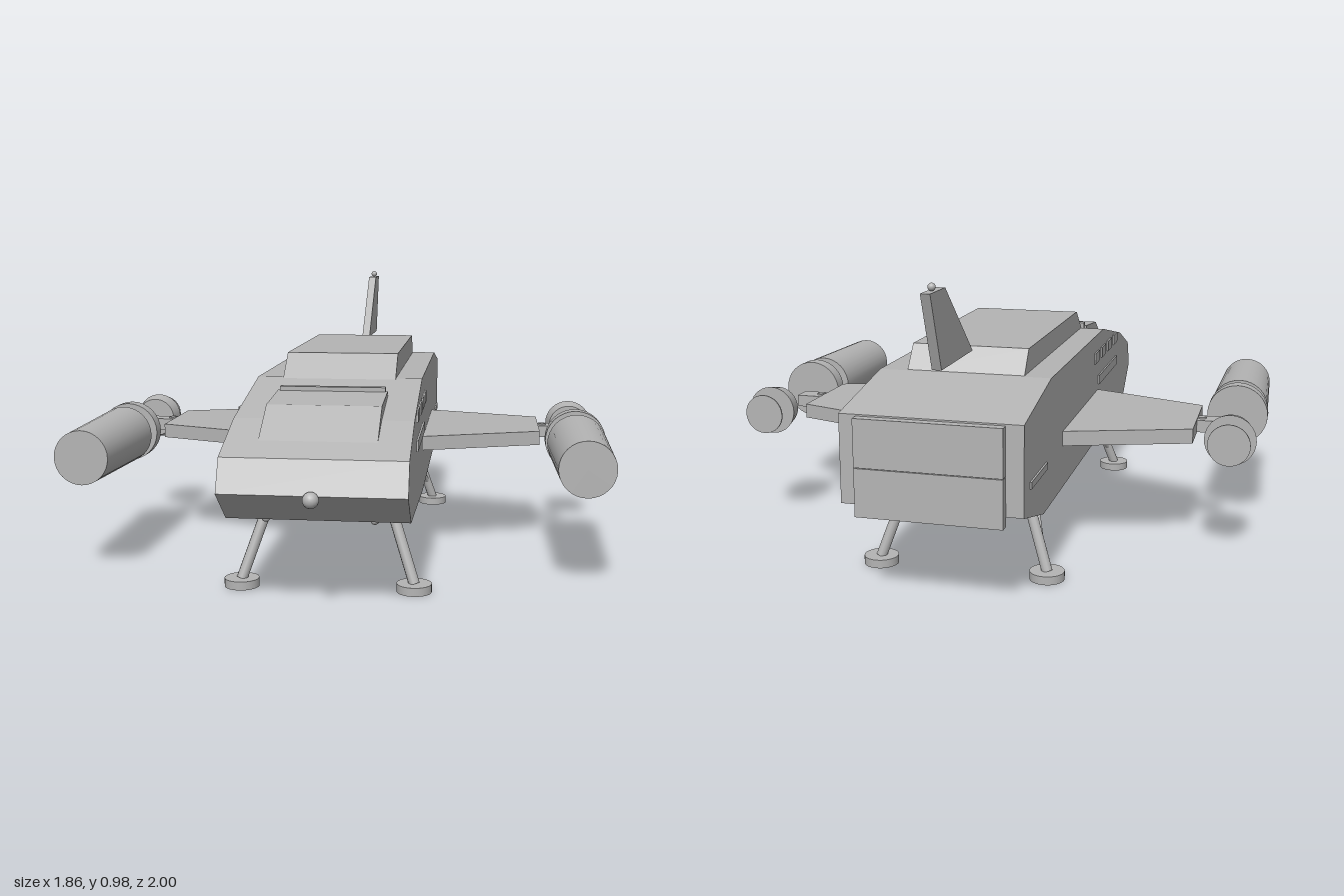
import * as THREE from 'three';

export function createModel() {
  const model = new THREE.Group();
  model.name = 'shuttle';
  const grey = new THREE.MeshStandardMaterial({ color: 0xb4b4b4 });
  grey.name = 'hull grey';

  const add = (name, geometry, x = 0, y = 0, z = 0) => {
    const mesh = new THREE.Mesh(geometry, grey);
    mesh.name = name;
    mesh.position.set(x, y, z);
    model.add(mesh);
    return mesh;
  };
  const shapeOf = (points) => new THREE.Shape(points.map(([a, b]) => new THREE.Vector2(a, b)));
  const extrude = (points, depth) =>
    new THREE.ExtrudeGeometry(shapeOf(points), { depth, bevelEnabled: false }).translate(0, 0, -depth / 2);
  // Side profile given as (z, y), extruded across x
  const profile = (name, points, width) => add(name, extrude(points, width).rotateY(-Math.PI / 2));
  // Box given by its limits
  const box = (name, x0, x1, y0, y1, z0, z1) =>
    add(name, new THREE.BoxGeometry(Math.abs(x1 - x0), y1 - y0, Math.abs(z1 - z0)),
      (x0 + x1) / 2, (y0 + y1) / 2, (z0 + z1) / 2);
  // Cylinder along z from z0 (radius r0) to z1 (radius r1), with z1 > z0
  const barrel = (name, x, y, z0, z1, r0, r1) =>
    add(name, new THREE.CylinderGeometry(r1, r0, z1 - z0, 32).rotateX(Math.PI / 2), x, y, (z0 + z1) / 2);
  const strut = (name, from, to, radius) => {
    const a = new THREE.Vector3(...from), b = new THREE.Vector3(...to);
    const dir = b.clone().sub(a);
    const mesh = add(name, new THREE.CylinderGeometry(radius, radius, dir.length(), 12));
    mesh.position.copy(a).add(b).multiplyScalar(0.5);
    mesh.quaternion.setFromUnitVectors(new THREE.Vector3(0, 1, 0), dir.normalize());
  };
  const ball = (name, x, y, z, r) => add(name, new THREE.SphereGeometry(r, 16, 12), x, y, z);

  // Fuselage, cabin roof and windscreen
  profile('hull', [[0.97, 0.385], [0.925, 0.487], [0.7, 0.57], [0.3, 0.653], [-0.62, 0.653],
    [-0.97, 0.59], [-0.97, 0.31], [-0.72, 0.24], [0.205, 0.24], [0.835, 0.28]], 0.57);
  profile('cabinRoof', [[0.32, 0.645], [0.215, 0.73], [-0.55, 0.73], [-0.61, 0.65]], 0.39);
  profile('windscreen', [[0.84, 0.515], [0.69, 0.613], [0.48, 0.632], [0.48, 0.59]], 0.365);
  box('windscreenBar', -0.175, 0.175, 0.62, 0.645, 0.465, 0.492);
  ball('noseProbe', 0, 0.375, 0.975, 0.025);

  // Tail fin with its beacon
  profile('tailFin', [[-0.575, 0.72], [-0.85, 0.96], [-0.99, 0.96], [-0.895, 0.72]], 0.03);
  ball('finBeacon', 0, 0.972, -0.93, 0.012);

  // Rear doors
  box('rearDoorUpper', -0.23, 0.23, 0.434, 0.585, -1.0, -0.965);
  box('rearDoorLower', -0.23, 0.23, 0.28, 0.432, -1.0, -0.965);

  // Belly hatch and rear vents
  add('bellyHatch', new THREE.CylinderGeometry(0.083, 0.083, 0.01, 32), 0, 0.239, -0.15);
  for (const x of [-0.11, 0, 0.11]) box('rearVent', x - 0.045, x + 0.045, 0.262, 0.29, -0.9, -0.83);

  for (const s of [-1, 1]) {
    // Side windows and trim strips
    for (let i = 0; i < 4; i++) {
      const z = 0.56 - i * 0.135;
      box('sideWindow', s * 0.283, s * 0.291, 0.55, 0.59, z - 0.04, z + 0.04);
    }
    box('frontTrim', s * 0.283, s * 0.291, 0.455, 0.49, 0.2, 0.6);
    box('rearTrim', s * 0.283, s * 0.291, 0.378, 0.4, -0.9, -0.685);
    ball('chinSensor', s * 0.17, 0.272, 0.78, 0.014);

    // Wing, pylon and bolt
    add('wing', extrude([[s * 0.28, -0.445], [s * 0.7, -0.305], [s * 0.7, -0.04 + 0.08], [s * 0.28, 0.2]], 0.05)
      .rotateX(Math.PI / 2), 0, 0.41, 0);
    box('pylon', s * 0.69, s * 0.795, 0.39, 0.432, -0.172, -0.1);
    add('pylonBolt', new THREE.CylinderGeometry(0.015, 0.015, 0.05, 16), s * 0.715, 0.412, -0.135);

    // Engine: barrel, ring, nozzle and end plate
    const ex = s * 0.825, ey = 0.41;
    barrel('engineBarrel', ex, ey, 0.14, 0.605, 0.103, 0.092);
    barrel('engineRing', ex, ey, 0.03, 0.083, 0.107, 0.107);
    barrel('engineNozzle', ex, ey, -0.328, -0.268, 0.074, 0.086).scale.z = -1;
    barrel('engineEndPlate', ex, ey, -0.393, -0.388, 0.07, 0.07);

    // Landing gear: pad, main leg and brace
    for (const [padZ, topZ, braceZ] of [[0.622, 0.56, 0.455], [-0.655, -0.605, -0.5]]) {
      add('footPad', new THREE.CylinderGeometry(0.057, 0.057, 0.028, 32), s * 0.283, 0.014, padZ);
      strut('gearLeg', [s * 0.283, 0.025, padZ], [s * 0.2, 0.27, topZ], 0.018);
      strut('gearBrace', [s * 0.262, 0.09, padZ * 0.65 + topZ * 0.35], [s * 0.2, 0.26, braceZ], 0.01);
    }
  }
  // Turn the nozzles so the wide end faces aft
  model.traverse((o) => {
    if (o.name === 'engineNozzle') { o.scale.z = 1; o.rotation.y = Math.PI; }
  });
  return model;
}
